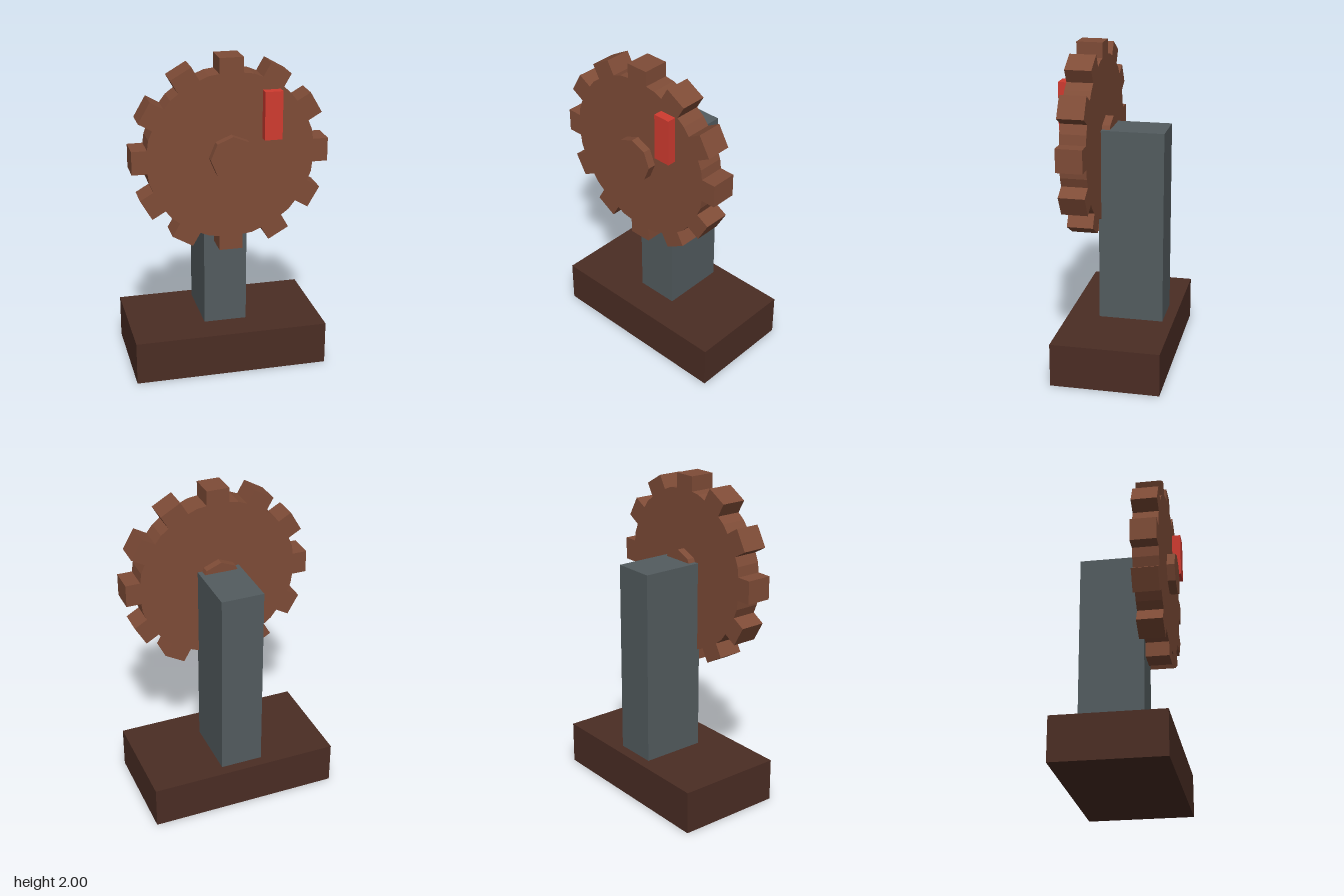
import * as THREE from 'three';

const material = (name, color) => {
  const m = new THREE.MeshStandardMaterial({ color });
  m.name = name;
  return m;
};

export function createModel() {
  const darkWood = material('dark wood', 0x4b2d24);
  const wood = material('wood', 0x7f4c37);
  const stone = material('grey stone', 0x535c5f);
  const red = material('red', 0xd03b30);

  const model = new THREE.Group();
  model.name = 'gearOnStand';

  const add = (parent, name, geometry, mat, x, y, z) => {
    const mesh = new THREE.Mesh(geometry, mat);
    mesh.name = name;
    mesh.position.set(x, y, z);
    parent.add(mesh);
    return mesh;
  };
  // Faceted disc facing the front
  const disc = (radius, depth, sides) =>
    new THREE.CylinderGeometry(radius, radius, depth, sides).rotateX(Math.PI / 2).toNonIndexed();
  const faceted = (geometry) => {
    geometry.computeVertexNormals();
    return geometry;
  };

  // Stand
  add(model, 'base', new THREE.BoxGeometry(1.204, 0.27, 0.67), darkWood, 0, 0.135, 0);
  add(model, 'column', new THREE.BoxGeometry(0.268, 1.21, 0.402), stone, 0, 0.875, -0.066);

  // Gear wheel with twelve square teeth
  const gear = new THREE.Group();
  gear.name = 'gear';
  gear.position.set(0, 1.41, 0.2);
  model.add(gear);
  add(gear, 'wheel', faceted(disc(0.507, 0.16, 24)), wood, 0, 0, 0);
  add(gear, 'axle', faceted(disc(0.134, 0.26, 8)), wood, 0, 0, 0);
  const toothGeometry = new THREE.BoxGeometry(0.142, 0.11, 0.16);
  for (let i = 0; i < 12; i++) {
    const a = (i * Math.PI) / 6;
    const tooth = add(gear, 'tooth', toothGeometry, wood, -Math.sin(a) * 0.535, Math.cos(a) * 0.535, 0);
    tooth.rotation.z = a;
  }

  // Red handle on the front of the wheel
  add(model, 'handle', new THREE.BoxGeometry(0.107, 0.29, 0.075), red, 0.24, 1.655, 0.2975);

  return model;
}
